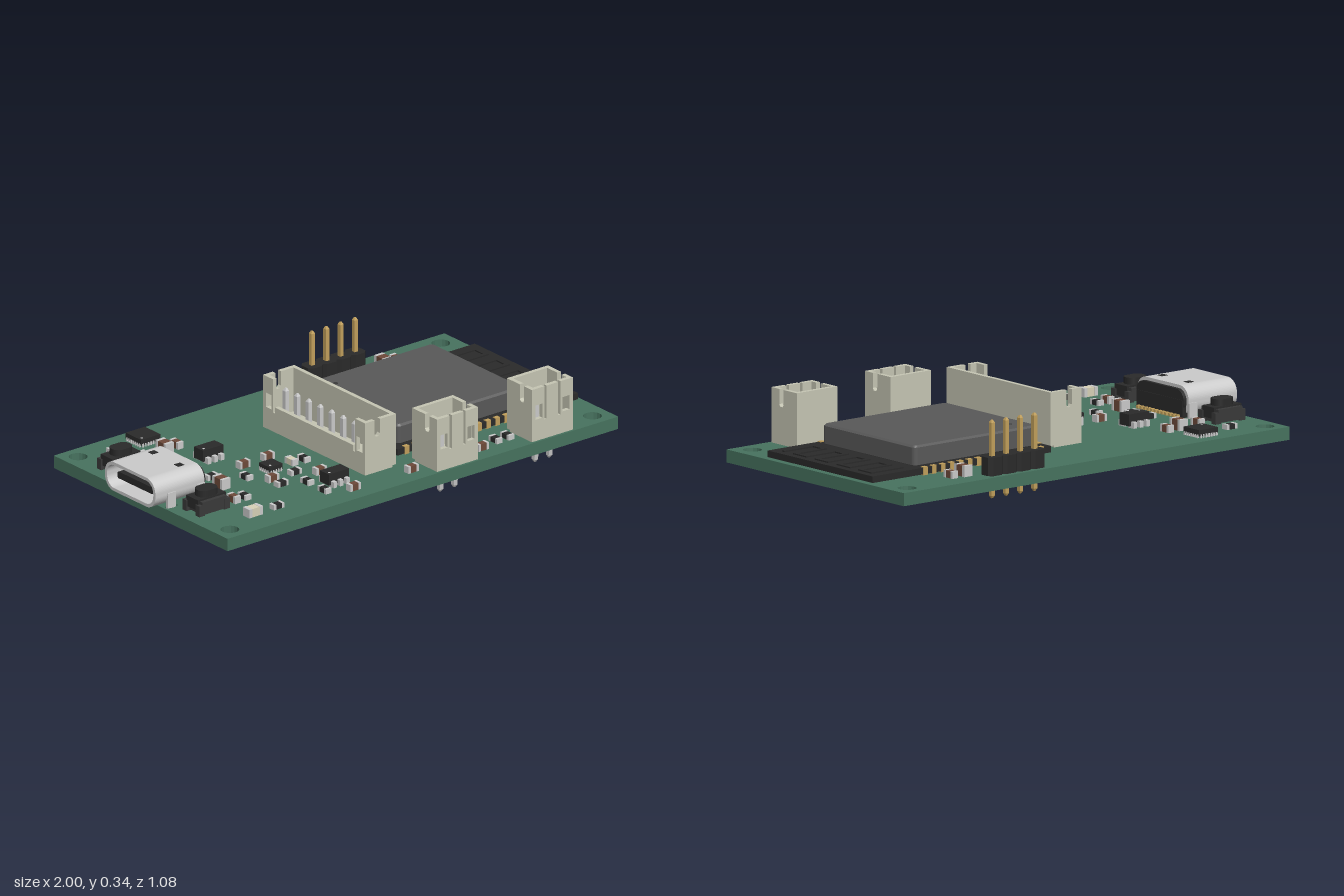
import * as THREE from 'three';

const mat = (color) => new THREE.MeshStandardMaterial({ color, side: THREE.DoubleSide });
const GREEN = mat(0x47735f), CREAM = mat(0xc6c6b4), BLACK = mat(0x2a2a2a), DARK = mat(0x3a3a3a),
  SHIELD = mat(0x595959), METAL = mat(0xcccccc), GOLD = mat(0xc2a05c), BROWN = mat(0x6e4a3a), LIGHT = mat(0xd8d2b8);
const TOP = 0.12; // upper face of the board

function add(parent, name, geo, material, x = 0, y = 0, z = 0) {
  const m = new THREE.Mesh(geo, material);
  m.name = name;
  m.position.set(x, y, z);
  parent.add(m);
  return m;
}
// box from its bounds
const box = (p, name, material, x0, x1, y0, y1, z0, z1) =>
  add(p, name, new THREE.BoxGeometry(x1 - x0, y1 - y0, z1 - z0), material, (x0 + x1) / 2, (y0 + y1) / 2, (z0 + z1) / 2);

function group(parent, name, x = 0, z = 0, turn = 0) {
  const g = new THREE.Group();
  g.name = name;
  g.position.set(x, 0, z);
  g.rotation.y = turn;
  parent.add(g);
  return g;
}
const poly = (pts) => new THREE.Shape(pts.map(([x, y]) => new THREE.Vector2(x, y)));
const extrude = (shape, depth) => new THREE.ExtrudeGeometry(shape, { depth, bevelEnabled: false, curveSegments: 8 });

function roundRect(w, h, r, Type = THREE.Shape) {
  const s = new Type(), a = w / 2 - r, b = h / 2 - r;
  s.absarc(a, b, r, 0, Math.PI / 2);
  s.absarc(-a, b, r, Math.PI / 2, Math.PI);
  s.absarc(-a, -b, r, Math.PI, Math.PI * 1.5);
  s.absarc(a, -b, r, Math.PI * 1.5, Math.PI * 2);
  s.closePath();
  return s;
}

// square pin with pointed ends
function pin(p, material, x, z, y0, y1, r = 0.009) {
  const t = r * 1.2;
  const pts = [[0.4, y0], [1, y0 + t], [1, y1 - t], [0.4, y1]].map(([k, y]) => new THREE.Vector2(k * r * 1.41, y));
  pts.unshift(new THREE.Vector2(0, y0));
  pts.push(new THREE.Vector2(0, y1));
  const geo = new THREE.LatheGeometry(pts, 4, Math.PI / 4).toNonIndexed();
  geo.computeVertexNormals();
  return add(p, 'pin', geo, material, x, 0, z);
}

// shrouded wire connector: open face towards local +z, pins on z = 0
function connector(parent, name, n, x, z, turn) {
  const g = group(parent, name, x, z, turn);
  const L = (n - 1) * 0.071 + 0.134, h = L / 2, H = 0.34, t = 0.018, back = -0.095, front = 0.06;
  box(g, 'floor', CREAM, -h, h, TOP + 0.008, 0.155, back, front);
  box(g, 'backWall', CREAM, -h, h, TOP + 0.008, H, back, back + t);
  // end walls with a round-bottomed notch
  const end = poly([[back + t, TOP], [front - t, TOP], [front - t, H], [0.012, H], [0.012, 0.28], [0.006, 0.27],
    [-0.008, 0.27], [-0.015, 0.28], [-0.015, H], [back + t, H]]);
  for (const s of [-1, 1]) {
    const m = add(g, 'endWall', extrude(end, t), CREAM, s > 0 ? h : -h + t, 0, 0);
    m.rotation.y = -Math.PI / 2;
  }
  // front wall with slots and windows, lower in the middle on the long connector
  const a = h - 0.062, b = a - 0.012, mid = n > 2 ? 0.225 : H, slot = 0.2;
  const face = poly([[-h, TOP], [h, TOP], [h, H], [a, H], [a, slot], [b, slot], [b, mid],
    [-b, mid], [-b, slot], [-a, slot], [-a, H], [-h, H]]);
  for (const s of [-1, 1]) {
    const c = s * (h - 0.035), w = 0.018;
    face.holes.push(poly([[c - w, 0.21], [c + w, 0.21], [c + w, 0.27], [c - w, 0.27]]));
  }
  add(g, 'frontWall', extrude(face, t), CREAM, 0, 0, front - t);
  for (let i = 0; i < n; i++) {
    const px = (i - (n - 1) / 2) * 0.071;
    pin(g, METAL, px, 0, 0.05, 0.29);
    const tail = pin(g, METAL, px, 0, 0, 0.1);
    tail.rotation.x = 0.1;
    tail.position.z = -0.006;
  }
}

function chip(parent, name, x, z, w, d, h, legs) {
  const g = group(parent, name, x, z);
  box(g, 'body', BLACK, -w / 2, w / 2, TOP + 0.008, TOP + h, -d / 2, d / 2);
  add(g, 'dot', new THREE.CylinderGeometry(0.005, 0.005, 0.002, 10), METAL, -w / 2 + 0.015, TOP + h, d / 2 - 0.015);
  for (let i = 0; i < legs; i++) {
    const px = ((i + 0.5) / legs - 0.5) * w * 0.95, q = w / legs / 4;
    for (const s of [-1, 1]) {
      const tall = legs === 3 ? 0.025 : 0.014, out = legs === 3 ? 0.018 : 0.003;
      box(g, 'leg', METAL, px - q, px + q, TOP, TOP + tall, s * d / 2 - out, s * d / 2 + out);
      if (legs > 3) box(g, 'leg', METAL, s * w / 2 - out, s * w / 2 + out, TOP, TOP + tall, px - q, px + q);
    }
  }
}

// two-terminal part: metal caps around a coloured body
function passive(parent, name, material, x, z, upright, l, w, h) {
  const g = group(parent, name, x, z, upright ? Math.PI / 2 : 0);
  const e = l * 0.22;
  box(g, 'body', material, -l / 2 + e, l / 2 - e, TOP, TOP + h, -w / 2, w / 2);
  for (const s of [-1, 1])
    add(g, 'terminal', new THREE.BoxGeometry(e, h + 0.002, w + 0.002), METAL, s * (l - e) / 2, TOP + h / 2, 0);
}

function button(parent, z) {
  const g = group(parent, 'pushButton', -0.83, z);
  box(g, 'base', DARK, -0.06, 0.06, TOP + 0.005, 0.178, -0.052, 0.052);
  for (const sx of [-1, 1]) for (const sz of [-1, 1])
    add(g, 'foot', new THREE.BoxGeometry(0.028, 0.045, 0.025), DARK, sx * 0.062, TOP + 0.0235, sz * 0.04);
  box(g, 'frame', BLACK, -0.07, 0.07, 0.14, 0.185, -0.035, 0.035);
  const cap = add(g, 'cap', extrude(roundRect(0.09, 0.066, 0.03), 0.03), BLACK, 0, 0.182, 0);
  cap.rotation.x = -Math.PI / 2;
}

function usbSocket(parent) {
  const g = group(parent, 'socket', 0, -0.012);
  const cy = 0.183;
  const along = (name, shape, len, material, x) => {
    add(g, name, extrude(shape, len), material, x, cy, 0).rotation.y = Math.PI / 2;
  };
  const shell = roundRect(0.312, 0.122, 0.055);
  shell.holes.push(roundRect(0.286, 0.096, 0.043, THREE.Path));
  along('shell', shell, 0.245, METAL, -1);
  along('core', roundRect(0.286, 0.096, 0.043), 0.14, BLACK, -0.88);
  along('tongue', roundRect(0.22, 0.028, 0.01), 0.1, BLACK, -0.975);
  box(g, 'rearBlock', BLACK, -0.78, -0.738, TOP, 0.19, -0.14, 0.14);
  for (const s of [-1, 1]) {
    box(g, 'springSlot', BLACK, -0.835, -0.805, 0.235, 0.2455, s * 0.08 - 0.014, s * 0.08 + 0.014);
    for (const x of [-0.92, -0.775]) box(g, 'lug', METAL, x - 0.02, x + 0.02, 0.065, 0.18, s * 0.155 - 0.006, s * 0.155 + 0.006);
  }
  for (let i = 0; i < 12; i++) {
    const z = (i - 5.5) * 0.0215;
    box(g, 'contact', GOLD, -0.745, -0.722, TOP, TOP + 0.012, z - 0.006, z + 0.006);
  }
}

function radioModule(parent) {
  const g = group(parent, 'radioModule');
  box(g, 'moduleBoard', BLACK, 0.078, 0.98, TOP + 0.004, 0.15, -0.33, 0.308);
  const cx = 0.4225, cz = -0.01;
  const lid = new THREE.ExtrudeGeometry(roundRect(0.61, 0.545, 0.012),
    { depth: 0.07, bevelThickness: 0.008, bevelSize: 0.008, bevelSegments: 1, curveSegments: 3 });
  add(g, 'shield', lid, SHIELD, cx, 0.153, cz).rotation.x = -Math.PI / 2;
  add(g, 'dimple', new THREE.CylinderGeometry(0.01, 0.01, 0.002, 14), DARK, 0.187, 0.231, -0.21);
  // edge pads
  for (let i = 0; i < 14; i++) {
    const x = 0.125 + i * 0.0453;
    for (const z of [-0.323, 0.301]) box(g, 'pad', GOLD, x - 0.011, x + 0.011, TOP, 0.153, z - 0.009, z + 0.009);
  }
  for (let i = 0; i < 12; i++) {
    const z = cz + (i - 5.5) * 0.0453;
    box(g, 'pad', GOLD, 0.076, 0.094, TOP, 0.153, z - 0.011, z + 0.011);
  }
  // meandering aerial
  for (let i = 0; i < 9; i++) {
    const z = -0.28 + i * 0.066;
    box(g, 'aerial', BLACK, 0.79, 0.95, 0.15, 0.155, z - 0.008, z + 0.008);
    if (i < 8) {
      const x = i % 2 ? 0.79 : 0.934;
      box(g, 'aerial', BLACK, x, x + 0.016, 0.15, 0.155, z, z + 0.066);
    }
  }
}

export function createModel() {
  const root = new THREE.Group();
  root.name = 'circuitBoard';

  // board with mounting holes and socket slots
  const outline = poly([[-0.955, -0.535], [0.998, -0.535], [0.998, 0.54], [-0.955, 0.54]]);
  const hole = (x, z, rx, ry) => outline.holes.push(new THREE.Path().absellipse(x, -z, rx, ry, 0, Math.PI * 2));
  for (const x of [-0.888, 0.925]) for (const z of [-0.472, 0.466]) hole(x, z, 0.037, 0.037);
  for (const x of [-0.92, -0.775]) for (const z of [-0.167, 0.143]) hole(x, z, 0.03, 0.014);
  add(root, 'board', extrude(outline, 0.052), GREEN, 0, 0.068, 0).rotation.x = -Math.PI / 2;

  radioModule(root);
  usbSocket(root);
  button(root, -0.28);
  button(root, 0.248);
  connector(root, 'longConnector', 8, -0.08, 0.062, -Math.PI / 2);
  connector(root, 'smallConnector', 2, 0.203, 0.465, 0);
  connector(root, 'smallConnector', 2, 0.677, 0.465, 0);

  // pin header
  const header = group(root, 'pinHeader', 0.398, -0.484);
  for (let i = 0; i < 4; i++) {
    const x = (i - 1.5) * 0.0715;
    const block = extrude(poly([[-0.036, -0.02], [-0.022, -0.035], [0.022, -0.035], [0.036, -0.02],
      [0.036, 0.02], [0.022, 0.035], [-0.022, 0.035], [-0.036, 0.02]]), 0.073);
    add(header, 'block', block, BLACK, x, TOP, 0).rotation.x = -Math.PI / 2;
    pin(header, GOLD, x, 0, 0.025, 0.336, 0.0085);
  }

  chip(root, 'squareChip', -0.593, -0.436, 0.096, 0.096, 0.032, 7);
  chip(root, 'smallSquareChip', -0.39, 0.103, 0.066, 0.066, 0.03, 5);
  chip(root, 'regulator', -0.505, -0.138, 0.102, 0.056, 0.055, 3);
  chip(root, 'regulator', -0.275, 0.355, 0.102, 0.056, 0.055, 3);

  // small parts as [x, z, upright]
  const kinds = [
    ['resistor', BLACK, 0.052, 0.027, 0.02, [[-0.753, -0.42, 0], [-0.635, -0.07, 0], [-0.625, 0.024, 0], [-0.647, 0.258, 1],
      [-0.61, 0.413, 0], [-0.518, 0.11, 1], [-0.23, 0.11, 1], [-0.342, 0.19, 0], [-0.455, 0.248, 0], [-0.364, 0.297, 1],
      [-0.364, 0.404, 1], [0.47, 0.43, 1], [0.528, 0.43, 1]]],
    ['capacitor', BROWN, 0.052, 0.027, 0.028, [[-0.7, -0.29, 1], [-0.53, -0.307, 1], [0.668, -0.43, 1], [-0.7, 0.258, 1],
      [-0.455, 0.013, 0], [-0.332, 0.01, 0], [-0.455, 0.19, 0], [-0.263, 0.248, 0], [-0.263, 0.457, 0],
      [0.027, 0.457, 0], [0.378, 0.457, 0]]],
    ['largeCapacitor', BROWN, 0.062, 0.04, 0.043, [[-0.593, -0.302, 1], [0.604, -0.43, 1], [-0.647, 0.115, 1]]],
    ['lamp', LIGHT, 0.068, 0.038, 0.035, [[-0.727, 0.41, 0]]],
    ['smallLamp', LIGHT, 0.05, 0.026, 0.025, [[-0.288, 0.105, 1]]],
  ];
  for (const [name, material, l, w, h, spots] of kinds)
    for (const [x, z, upright] of spots) passive(root, name, material, x, z, upright, l, w, h);

  return root;
}
